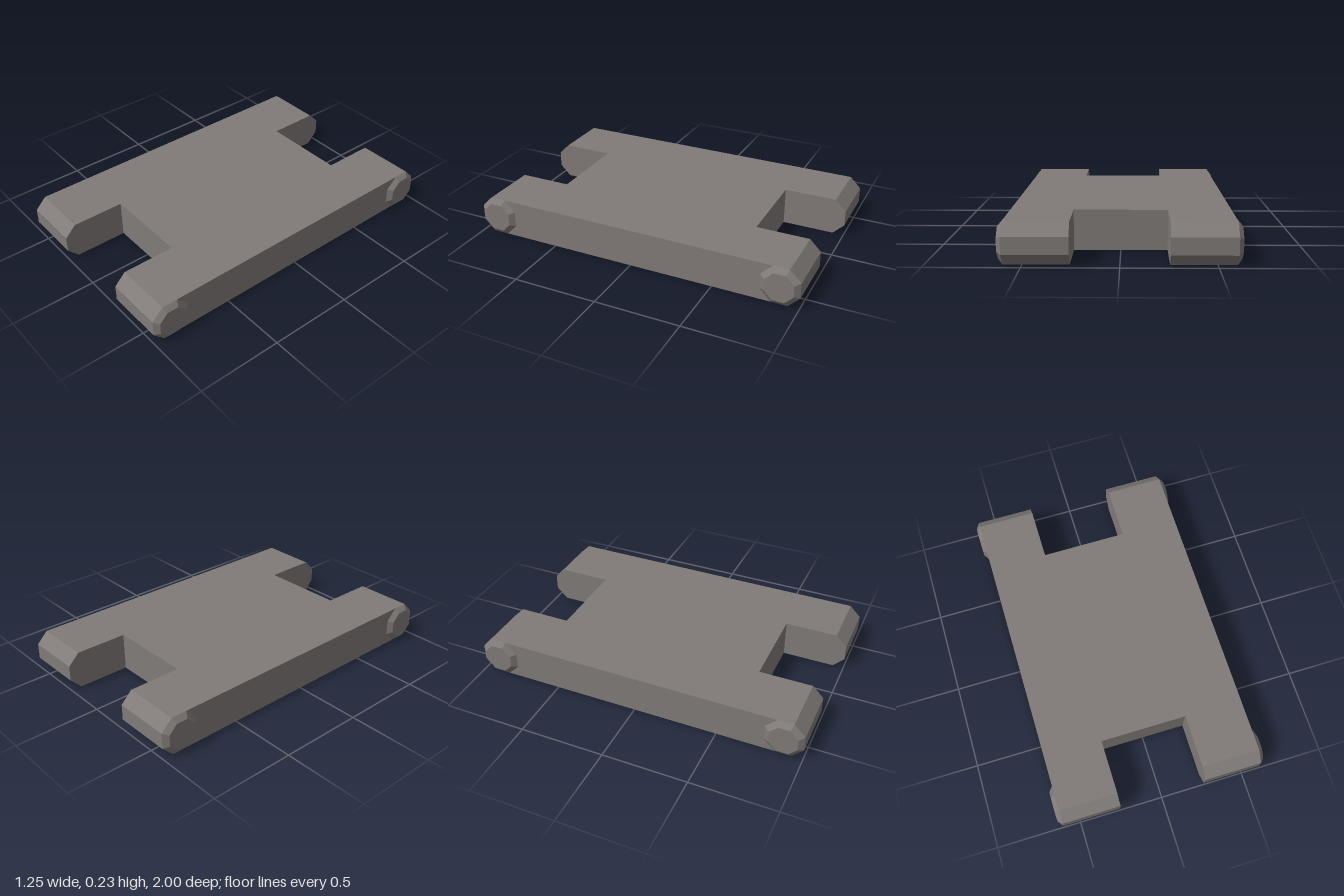
import * as THREE from 'three';

const HEIGHT = 0.225;      // slab thickness, also the octagon width
const R = HEIGHT / 2;      // octagon inradius
const CUT = HEIGHT * 0.293; // octagon corner cut
const INNER = 0.256;       // half width of the end notches
const OUTER = 0.6;         // half width of the body
const NOTCH = 0.622;       // z where the notches begin
const CAP = 0.025;         // how far the end caps stick out

export function createModel() {
  const model = new THREE.Group();
  model.name = 'notchedSlab';

  const stone = new THREE.MeshStandardMaterial({ color: 0x807b78 });
  stone.name = 'warm grey';

  const add = (name, geometry, x, y, z) => {
    const flat = geometry.index ? geometry.toNonIndexed() : geometry;
    flat.computeVertexNormals();
    const mesh = new THREE.Mesh(flat, stone);
    mesh.name = name;
    mesh.position.set(x, y, z);
    model.add(mesh);
  };

  // Centre panel between the two rails
  add('centrePanel', new THREE.BoxGeometry(INNER * 2, HEIGHT, NOTCH * 2), 0, R, 0);

  // Side profile of a rail: a long bar with half-octagon ends
  const profile = new THREE.Shape([
    [-1 + CUT, 0], [1 - CUT, 0], [1, CUT], [1, HEIGHT - CUT],
    [1 - CUT, HEIGHT], [-1 + CUT, HEIGHT], [-1, HEIGHT - CUT], [-1, CUT],
  ].map(([z, y]) => new THREE.Vector2(z, y)));

  for (const side of [1, -1]) {
    const label = side > 0 ? 'left' : 'right';

    const rail = new THREE.ExtrudeGeometry(profile, { depth: OUTER - INNER, bevelEnabled: false });
    rail.rotateY(Math.PI / 2);
    add(label + 'Rail', rail, side > 0 ? INNER : -OUTER, 0, 0);

    // Tapered octagonal caps on the outer face at each end
    for (const end of [1, -1]) {
      const k = 1 / Math.cos(Math.PI / 8);
      const cap = new THREE.CylinderGeometry(0.083 * k, R * k, CAP, 8);
      cap.rotateY(Math.PI / 8).rotateZ(-side * Math.PI / 2);
      add(label + (end > 0 ? 'Front' : 'Back') + 'Cap', cap,
        side * (OUTER + CAP / 2), R, end * (1 - R));
    }
  }
  return model;
}
